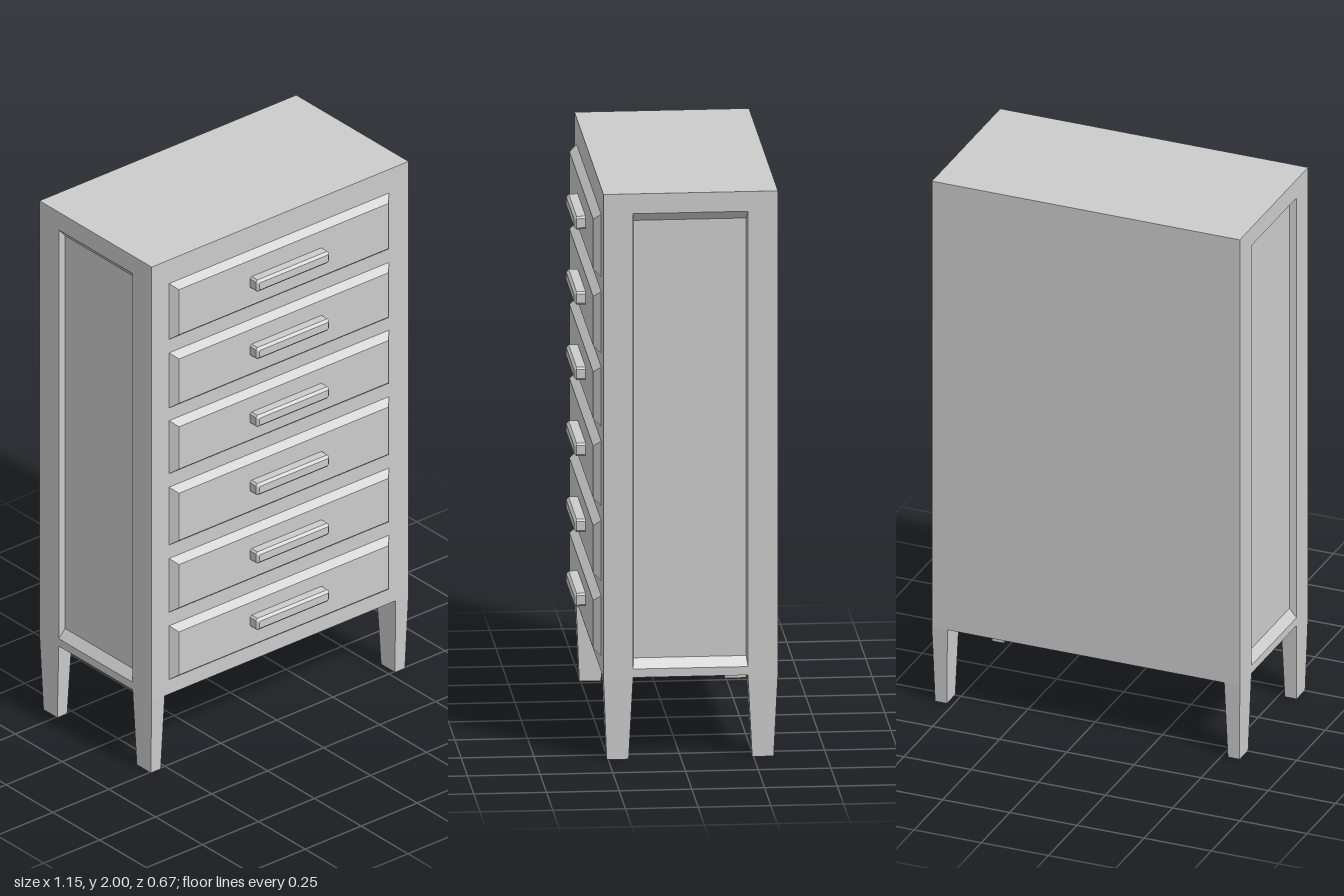
import * as THREE from 'three';

const material = new THREE.MeshStandardMaterial({ color: 0xcccccc, flatShading: true });

// Maps ring coordinates (a, b) at height h along an axis, counter-clockwise from its + end
const place = {
  x: (a, b, h) => [h, a, b],
  y: (a, b, h) => [b, h, a],
  z: (a, b, h) => [a, b, h],
};

// Rectangle outline, optionally with cut corners
function rect(a0, a1, b0, b1, cut = 0) {
  if (!cut) return [[a0, b0], [a1, b0], [a1, b1], [a0, b1]];
  return [
    [a0 + cut, b0], [a1 - cut, b0], [a1, b0 + cut], [a1, b1 - cut],
    [a1 - cut, b1], [a0 + cut, b1], [a0, b1 - cut], [a0, b0 + cut],
  ];
}

// Solid skinned through [height, outline] rings along an axis, capped at both ends
function loft(name, axis, rings) {
  const pts = rings.map(([h, ring]) => ring.map(([a, b]) => place[axis](a, b, h)));
  const n = pts[0].length;
  const pos = [];
  const tri = (...p) => p.forEach((v) => pos.push(...v));
  for (let r = 0; r < pts.length - 1; r++) {
    for (let i = 0; i < n; i++) {
      const j = (i + 1) % n, lo = pts[r], hi = pts[r + 1];
      tri(lo[i], lo[j], hi[j]);
      tri(lo[i], hi[j], hi[i]);
    }
  }
  const first = pts[0], last = pts[pts.length - 1];
  for (let i = 1; i < n - 1; i++) {
    tri(first[0], first[i + 1], first[i]);
    tri(last[0], last[i], last[i + 1]);
  }
  const geo = new THREE.BufferGeometry();
  geo.setAttribute('position', new THREE.Float32BufferAttribute(pos, 3));
  geo.computeVertexNormals();
  const mesh = new THREE.Mesh(geo, material);
  mesh.name = name;
  return mesh;
}

export function createModel() {
  const group = new THREE.Group();
  group.name = 'tallDresser';

  const W = 0.573, FRONT = 0.267, BACK = -0.333, BASE = 0.29;

  // Cabinet with a recessed panel in each side
  const outer = rect(BASE, 2, BACK, FRONT);
  const opening = rect(0.32, 1.93, -0.23, 0.165);
  const panel = rect(0.353, 1.9, -0.226, 0.161);
  group.add(loft('cabinet', 'x', [
    [-W + 0.025, panel], [-W, opening], [-W, outer],
    [W, outer], [W, opening], [W - 0.025, panel],
  ]));

  // Tapered legs
  for (const s of [1, -1]) {
    const leg = (name, top, foot) => {
      const span = (p, q) => [Math.min(s * p, s * q), Math.max(s * p, s * q)];
      group.add(loft(name, 'y', [
        [0, rect(...foot, ...span(0.523, 0.567))],
        [BASE, rect(...top, ...span(0.515, W))],
      ]));
    };
    const side = s > 0 ? 'Left' : 'Right';
    leg('front' + side + 'Leg', [0.165, FRONT], [0.18, 0.255]);
    leg('back' + side + 'Leg', [BACK, -0.23], [-0.319, -0.245]);
  }

  // Drawers: bottom, top and handle height
  const drawers = [
    [1.687, 1.907, 1.797], [1.417, 1.634, 1.531], [1.158, 1.367, 1.264],
    [0.877, 1.105, 0.995], [0.612, 0.824, 0.726], [0.347, 0.559, 0.464],
  ];
  drawers.forEach(([y0, y1, yh], i) => {
    const drawer = new THREE.Group();
    drawer.name = 'drawer' + (i + 1);
    // Bevelled drawer front
    drawer.add(loft('drawerFront', 'z', [
      [FRONT, rect(-0.495, 0.485, y0, y1)],
      [0.293, rect(-0.473, 0.463, y0 + 0.021, y1 - 0.021)],
    ]));
    // Bar handle with chamfered edges
    const bar = (inset, cut) => rect(-0.156 + inset, 0.17 - inset, yh - 0.023 + inset, yh + 0.023 - inset, cut);
    drawer.add(loft('handle', 'z', [
      [0.293, bar(0, 0.007)],
      [0.324, bar(0, 0.007)],
      [0.333, bar(0.009, 0.004)],
    ]));
    group.add(drawer);
  });

  return group;
}
